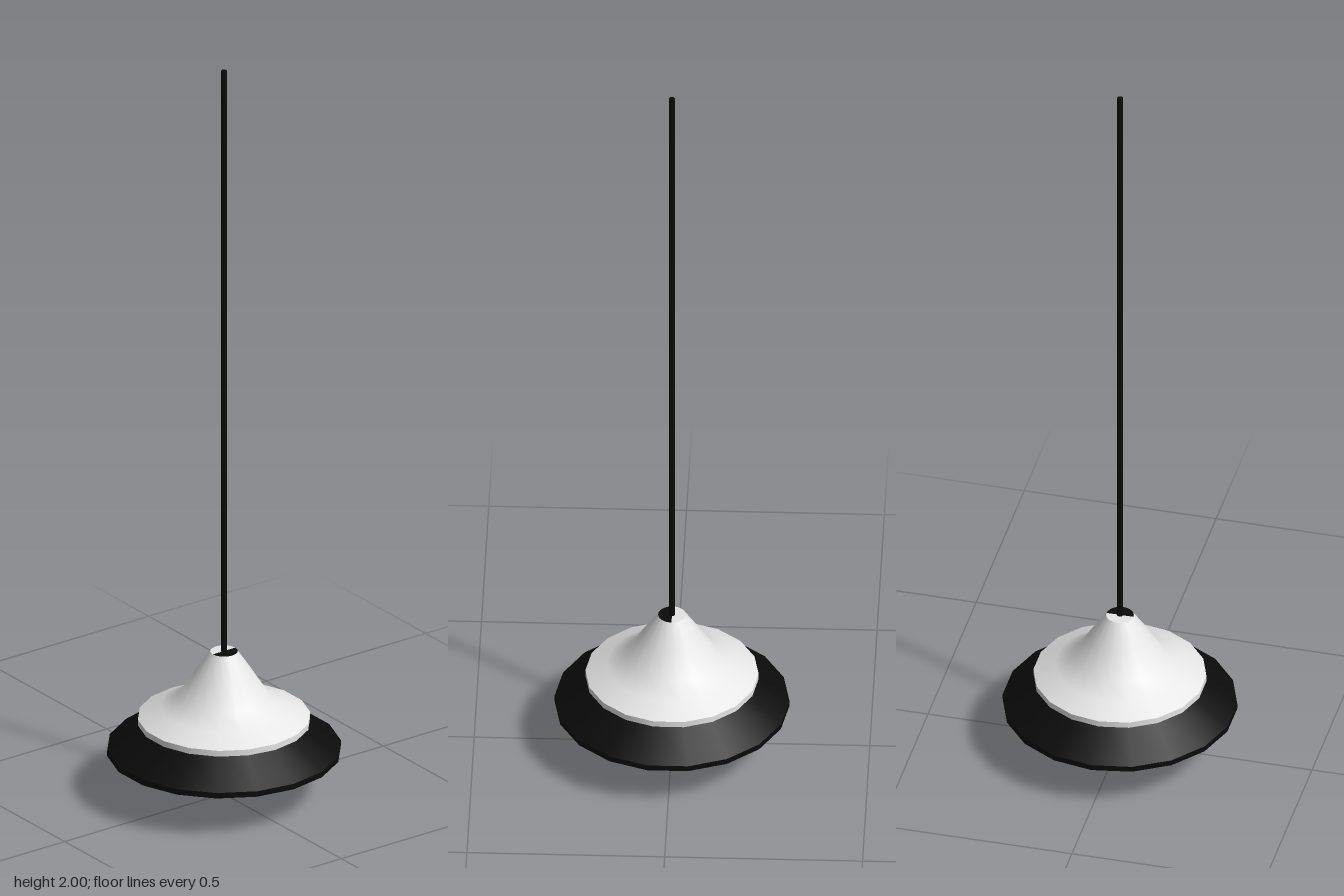
import * as THREE from 'three';

export function createModel() {
  const model = new THREE.Group();
  model.name = 'pendantLamp';

  const material = (name, color, side = THREE.DoubleSide) => {
    const m = new THREE.MeshStandardMaterial({ color, side });
    m.name = name;
    return m;
  };
  const white = material('white', 0xe6e6e6);
  const black = material('black', 0x0b0b0b);
  const glass = material('greyGlass', 0x9c9c9c);

  const add = (name, geometry, mat) => {
    const mesh = new THREE.Mesh(geometry, mat);
    mesh.name = name;
    model.add(mesh);
    return mesh;
  };
  // Profiles are [radius, height] pairs from bottom to top, corners on the x axis
  const lathe = (profile, sides = 18) => new THREE.LatheGeometry(
    profile.map(([r, y]) => new THREE.Vector2(r, y)), sides, Math.PI / 2);

  // Shade: concave cone over a short upright band
  add('shadeCone', lathe([[0.219, 0.216], [0.165, 0.243], [0.116, 0.271], [0.075, 0.335], [0.035, 0.395]]), white);
  add('shadeBand', lathe([[0.219, 0.2], [0.219, 0.216]]), white);

  // Flared skirt with a thin upright lip
  add('skirtFlare', lathe([[0.297, 0.134], [0.207, 0.2]]), black);
  add('skirtLip', lathe([[0.297, 0.119], [0.297, 0.134]]), black);

  // Top cap, half white and half black
  for (const [name, start, mat] of [['capBlackHalf', -Math.PI / 2, black], ['capWhiteHalf', Math.PI / 2, white]]) {
    const cap = add(name, new THREE.CircleGeometry(0.035, 12, start, Math.PI), mat);
    cap.rotation.x = -Math.PI / 2;
    cap.position.y = 0.395;
  }

  // Bulb: round below, narrowing to a neck inside the shade
  const bulb = [];
  for (let i = 0; i <= 10; i++) {
    const a = -Math.PI / 2 + (i / 10) * Math.PI * 0.58;
    bulb.push([0.103 * Math.cos(a), 0.103 + 0.103 * Math.sin(a)]);
  }
  bulb.push([0.09, 0.175], [0.075, 0.23], [0.06, 0.275], [0.04, 0.31], [0, 0.32]);
  add('bulb', lathe(bulb, 24), glass);

  // Hanging cord
  const cord = add('cord', new THREE.CylinderGeometry(0.008, 0.008, 1.69, 8), black);
  cord.position.y = 2 - 1.69 / 2;

  return model;
}
